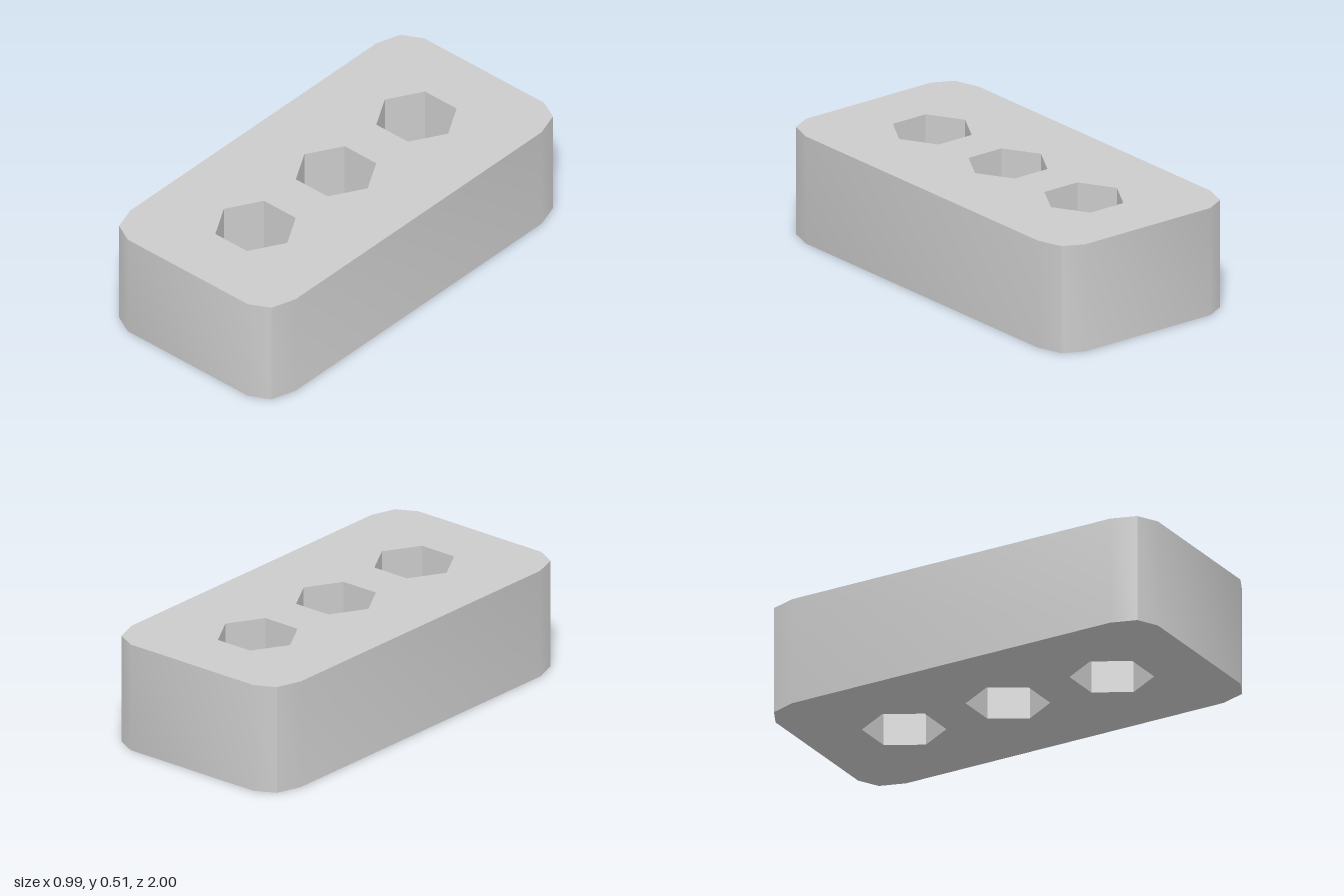
import * as THREE from 'three';
import { toCreasedNormals } from 'three/addons/utils/BufferGeometryUtils.js';

const HEIGHT = 0.515;
const HOLE_RADIUS = 0.19;
const HOLE_SPACING = 0.543;

// One corner of the footprint, mirrored into all four quadrants
function footprint() {
  const corner = [[0.496, 0.83], [0.457, 0.95], [0.36, 1]];
  const points = [];
  for (const [sx, sy] of [[1, 1], [-1, 1], [-1, -1], [1, -1]]) {
    const quadrant = corner.map(([x, y]) => new THREE.Vector2(x * sx, y * sy));
    points.push(...(sx * sy > 0 ? quadrant : quadrant.reverse()));
  }
  return new THREE.Shape(points);
}

// Hexagonal through-hole with two points along x
function hexHole(centreY) {
  const points = [];
  for (let i = 0; i < 6; i++) {
    const a = -i * Math.PI / 3;
    points.push(new THREE.Vector2(HOLE_RADIUS * Math.cos(a), centreY + HOLE_RADIUS * Math.sin(a)));
  }
  return new THREE.Path(points);
}

export function createModel() {
  const group = new THREE.Group();
  group.name = 'perforatedBrick';

  const shape = footprint();
  for (const i of [-1, 0, 1]) shape.holes.push(hexHole(i * HOLE_SPACING));

  // Extruded upwards; gentle corner bends stay smooth, sharper ones are creased
  const extruded = new THREE.ExtrudeGeometry(shape, { depth: HEIGHT, bevelEnabled: false });
  extruded.rotateX(-Math.PI / 2);
  const geometry = toCreasedNormals(extruded, THREE.MathUtils.degToRad(35));

  const brick = new THREE.Mesh(geometry, new THREE.MeshStandardMaterial({ color: 0xcccccc }));
  brick.name = 'brick';
  group.add(brick);
  return group;
}
